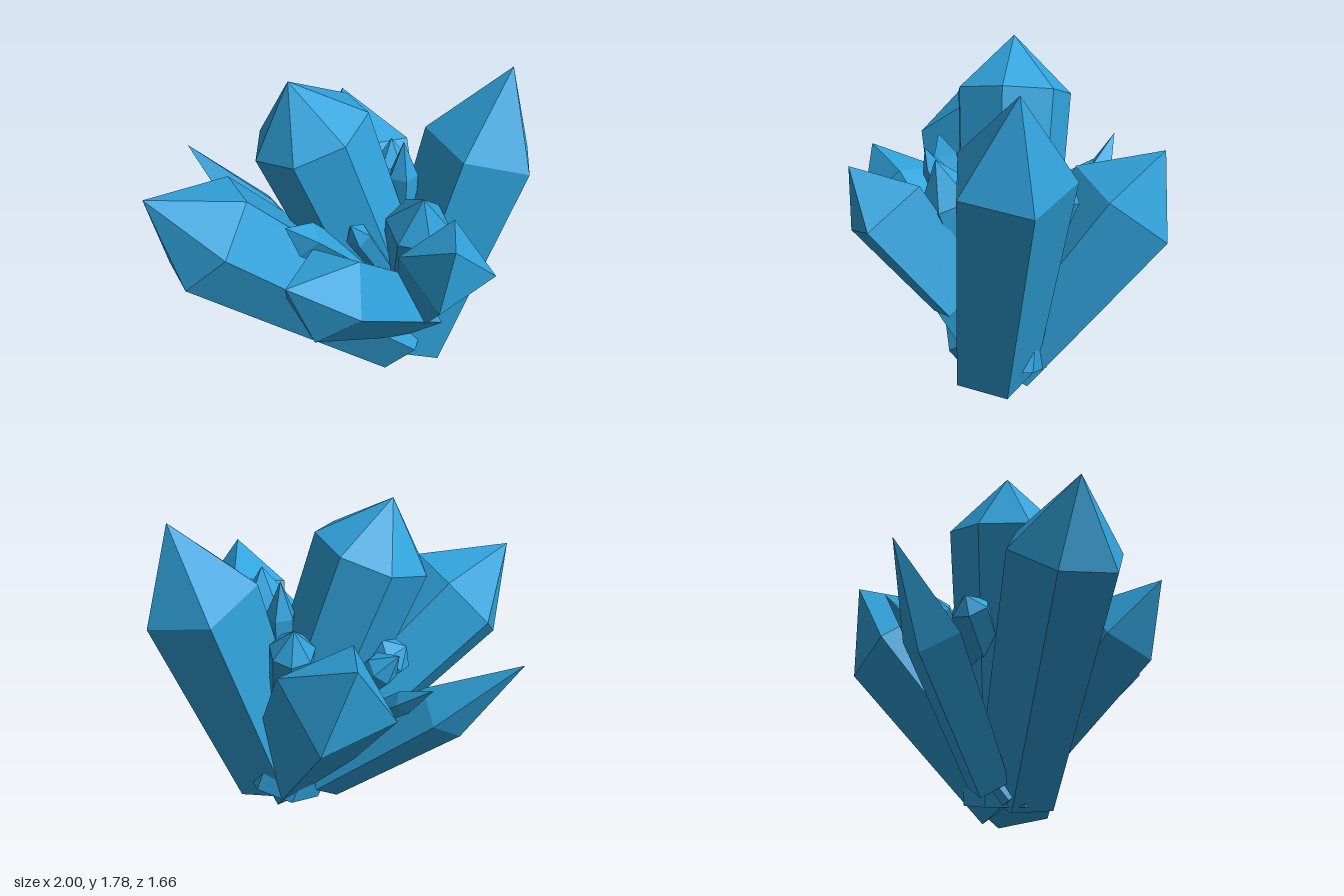
import * as THREE from 'three';

const V = (a) => new THREE.Vector3(...a);

// A tapered prism with a pointed cap. `corner` is one corner of the shoulder ring:
// it fixes the radius, the roll and where along the axis the point begins.
function crystalGeometry(sides, base, tip, corner, taper = 0.75) {
  const b = V(base), t = V(tip);
  const axis = t.clone().sub(b).normalize();
  const rel = V(corner).sub(b);
  const shoulder = b.clone().addScaledVector(axis, rel.dot(axis));
  const spoke = V(corner).sub(shoulder);

  const low = [], high = [];
  for (let i = 0; i < sides; i++) {
    const s = spoke.clone().applyAxisAngle(axis, (i / sides) * Math.PI * 2);
    high.push(shoulder.clone().add(s));
    low.push(b.clone().addScaledVector(s, taper));
  }

  const points = [];
  for (let i = 0; i < sides; i++) {
    const j = (i + 1) % sides;
    points.push(low[i], low[j], high[j], low[i], high[j], high[i]); // long face
    points.push(high[i], high[j], t); // point facet
    points.push(b, low[j], low[i]); // underside
  }
  const geometry = new THREE.BufferGeometry().setFromPoints(points);
  geometry.computeVertexNormals();
  return geometry;
}

// name, sides, base centre, tip, one shoulder corner
const crystals = [
  // large crystals
  ['tallLeftCrystal', 5, [0.36, 0.11, 0.07], [0.86, 1.755, -0.12], [0.94, 1.28, 0.16]],
  ['tallCentreCrystal', 7, [0.33, 0.1, 0.02], [-0.28, 1.775, 0.02], [0.12, 1.6, 0.04]],
  ['wideRightCrystal', 6, [0.3, 0.17, 0.08], [-1.0, 1.33, 0.37], [-0.6, 1.12, 0.6]],
  ['backCrystal', 4, [0.28, 0.13, 0.07], [0.02, 1.25, -0.805], [0.2, 0.8, -0.83]],
  ['frontRightCrystal', 5, [0.42, 0.35, 0.085], [-0.31, 1.13, 0.83], [0.05, 0.9, 0.81]],
  ['frontLeftCrystal', 4, [0.46, 0.57, 0.225], [0.49, 1.27, 0.765], [0.72, 1.01, 0.63]],
  ['backRightCrystal', 4, [0.1, 0.14, -0.08], [-0.87, 1.06, -0.53], [-0.57, 0.7, -0.21]],
  // small crystals between them
  ['backSliver', 4, [0.15, 0.4, -0.05], [-0.39, 1.0, -0.61], [-0.22, 0.87, -0.52]],
  ['backSmallCrystal', 6, [0.2, 0.5, -0.05], [-0.25, 1.1, -0.42], [-0.12, 1.0, -0.43]],
  ['rightSmallCrystal', 6, [0.15, 0.6, 0], [-0.33, 1.03, -0.2], [-0.29, 0.92, -0.27]],
  ['frontSmallCrystal', 4, [0.25, 0.55, 0.12], [-0.31, 1.2, 0.45], [-0.17, 1.14, 0.33]],
  ['frontSliver', 5, [0.25, 0.6, 0.15], [0.01, 1.22, 0.47], [0.11, 1.13, 0.44]],
  ['innerFrontCrystal', 6, [0.33, 0.4, 0.06], [0.38, 1.28, 0.35], [0.2, 1.09, 0.25]],
  ['innerSpike', 5, [0.31, 0.4, 0], [0.31, 1.37, -0.04], [0.39, 1.17, -0.02]],
  ['innerBackCrystal', 7, [0.3, 0.4, 0], [0.27, 1.22, -0.31], [0.39, 1.1, -0.22]],
];

export function createModel() {
  const group = new THREE.Group();
  group.name = 'crystalCluster';
  const blue = new THREE.MeshStandardMaterial({ color: 0x30a3dc });
  blue.name = 'crystal blue';
  blue.flatShading = true;

  for (const [name, sides, base, tip, corner] of crystals) {
    const mesh = new THREE.Mesh(crystalGeometry(sides, base, tip, corner), blue);
    mesh.name = name;
    group.add(mesh);
  }
  return group;
}
